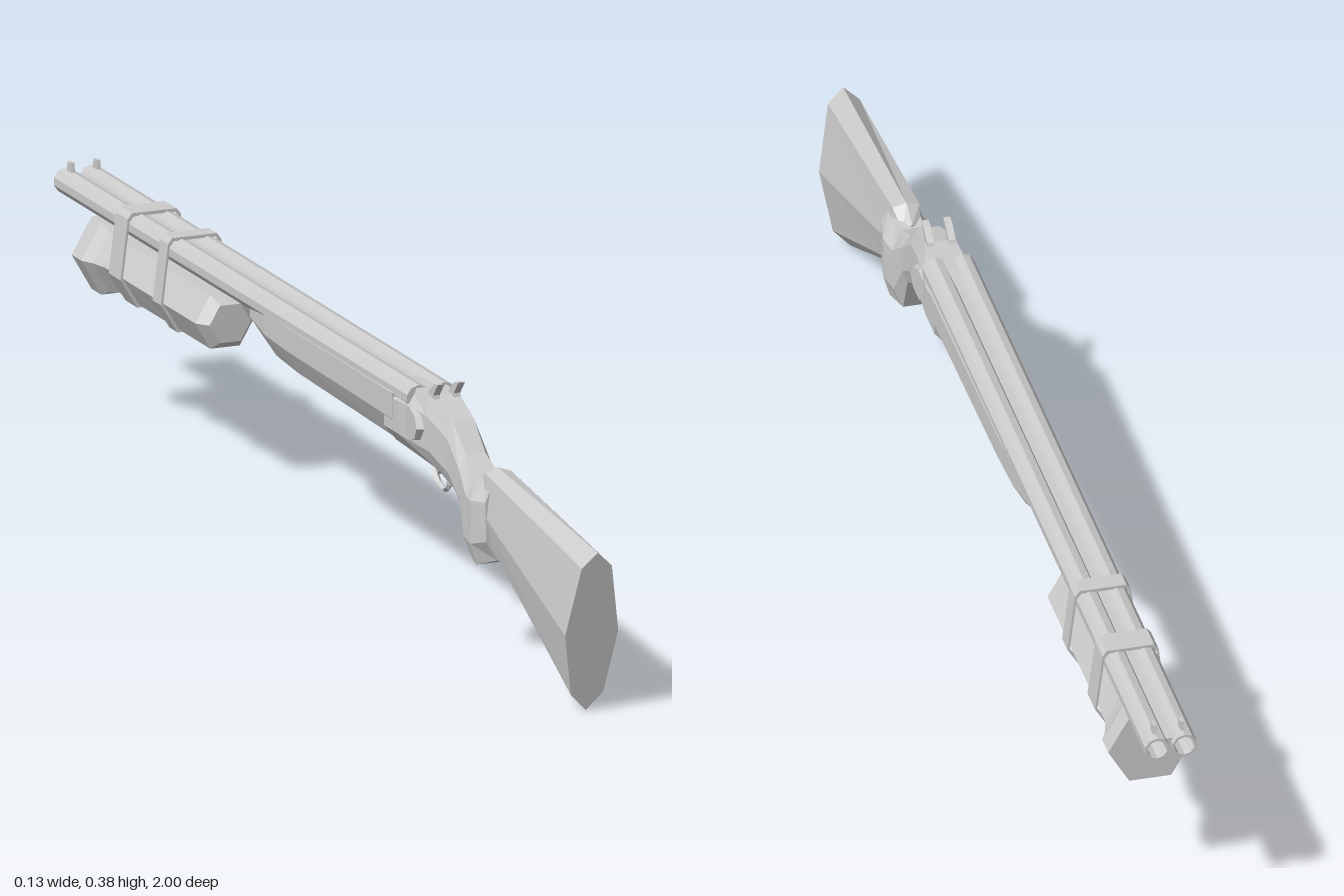
import * as THREE from 'three';

const mat = new THREE.MeshStandardMaterial({ color: 0xcccccc, flatShading: true });

function add(group, name, geometry, x = 0, y = 0, z = 0) {
  const mesh = new THREE.Mesh(geometry, mat);
  mesh.name = name;
  mesh.position.set(x, y, z);
  group.add(mesh);
  return mesh;
}

// Skin over stations { top: [z, y], bot: [z, y], side: [[fraction down, half width], ...] }, in order of rising z.
function loft(stations) {
  const pos = [], idx = [];
  const n = stations[0].side.length * 2;
  for (const { top, bot, side } of stations) {
    const put = (f, x) => pos.push(x, top[1] + (bot[1] - top[1]) * f, top[0] + (bot[0] - top[0]) * f);
    side.forEach(([f, w]) => put(f, w));
    [...side].reverse().forEach(([f, w]) => put(f, -w));
  }
  for (let i = 0; i < stations.length - 1; i++) {
    for (let j = 0; j < n; j++) {
      const a = i * n + j, b = i * n + (j + 1) % n;
      idx.push(a, a + n, b, b, a + n, b + n);
    }
  }
  const last = (stations.length - 1) * n;
  for (let j = 1; j < n - 1; j++) {
    idx.push(0, j, j + 1);
    idx.push(last, last + j + 1, last + j);
  }
  const g = new THREE.BufferGeometry();
  g.setAttribute('position', new THREE.Float32BufferAttribute(pos, 3));
  g.setIndex(idx);
  const flat = g.toNonIndexed();
  flat.computeVertexNormals();
  return flat;
}

// Turned shape along z; points are [radius, z] running toward -z.
function turned(points, sides, phase = 0) {
  const g = new THREE.LatheGeometry(points.map(([r, z]) => new THREE.Vector2(r, -z)), sides, phase);
  return g.rotateX(-Math.PI / 2);
}

// Outline in (z, y) given thickness along x, centred on x = 0.
function plate(points, thickness) {
  const shape = new THREE.Shape(points.map(([z, y]) => new THREE.Vector2(-z, y)));
  const g = new THREE.ExtrudeGeometry(shape, { depth: thickness, bevelEnabled: false });
  return g.translate(0, 0, -thickness / 2).rotateY(Math.PI / 2);
}

export function createModel() {
  const model = new THREE.Group();

  // Twin hollow barrels with bead sights, hammers and side plates
  const barrel = turned([[0, 0.36], [0.02, 0.36], [0.02, -1], [0.016, -1], [0.016, -0.8], [0, -0.8]], 10);
  const hammer = plate([[0.39, 0.345], [0.425, 0.345], [0.418, 0.366], [0.436, 0.387], [0.422, 0.385], [0.4, 0.368]], 0.011);
  const sight = plate([[-0.968, 0.364], [-0.972, 0.382], [-0.984, 0.382], [-0.988, 0.364]], 0.006);
  for (const s of [1, -1]) {
    const side = s > 0 ? 'left' : 'right';
    add(model, side + 'Barrel', barrel, s * 0.0215, 0.348);
    add(model, side + 'Sight', sight, s * 0.0215);
    add(model, side + 'Hammer', hammer, s * 0.017);
    const disc = new THREE.CylinderGeometry(0.026, 0.028, 0.012, 8).rotateZ(-s * Math.PI / 2);
    const lock = add(model, side + 'LockPlate', disc, s * 0.037, 0.313, 0.375);
    lock.scale.z = 1.35;
    lock.rotation.y = s * 0.1;
  }
  add(model, 'barrelRib', new THREE.BoxGeometry(0.014, 0.018, 1.36), 0, 0.35, -0.31);

  // Fore-end below the barrels
  const foreSide = (w, b) => [[0, w], [0.5, w], [1, b]];
  add(model, 'foreEnd', loft([
    { top: [-0.278, 0.338], bot: [-0.27, 0.318], side: foreSide(0.022, 0.012) },
    { top: [-0.262, 0.342], bot: [-0.258, 0.298], side: foreSide(0.034, 0.016) },
    { top: [-0.19, 0.345], bot: [-0.19, 0.275], side: foreSide(0.04, 0.02) },
    { top: [-0.1, 0.345], bot: [-0.1, 0.27], side: foreSide(0.042, 0.022) },
    { top: [0.31, 0.345], bot: [0.31, 0.264], side: foreSide(0.044, 0.024) },
  ]));

  // Receiver flowing down into the grip
  const gripSide = (t, w, b) => [[0, t], [0.25, w], [0.75, w], [1, b]];
  add(model, 'receiverAndGrip', loft([
    { top: [0.27, 0.358], bot: [0.28, 0.262], side: gripSide(0.02, 0.043, 0.024) },
    { top: [0.33, 0.364], bot: [0.33, 0.26], side: gripSide(0.026, 0.043, 0.024) },
    { top: [0.41, 0.363], bot: [0.435, 0.254], side: gripSide(0.024, 0.034, 0.022) },
    { top: [0.48, 0.342], bot: [0.49, 0.236], side: gripSide(0.018, 0.028, 0.018) },
    { top: [0.53, 0.3], bot: [0.53, 0.212], side: gripSide(0.016, 0.028, 0.02) },
    { top: [0.575, 0.279], bot: [0.557, 0.15], side: gripSide(0.018, 0.034, 0.02) },
    { top: [0.605, 0.283], bot: [0.6, 0.146], side: gripSide(0.018, 0.04, 0.03) },
    { top: [0.64, 0.285], bot: [0.645, 0.162], side: gripSide(0.018, 0.032, 0.014) },
  ]));

  // Shoulder stock
  add(model, 'stock', loft([
    { top: [0.578, 0.283], bot: [0.61, 0.18], side: [[0, 0], [0.1, 0.014], [0.5, 0.024], [0.85, 0.018], [1, 0]] },
    { top: [0.615, 0.3], bot: [0.645, 0.164], side: [[0, 0], [0.05, 0.021], [0.5, 0.03], [0.85, 0.022], [1, 0]] },
    { top: [1, 0.262], bot: [0.953, 0.002], side: [[0, 0], [0.09, 0.025], [0.51, 0.044], [0.89, 0.027], [1, 0]] },
  ]));

  // Trigger and guard
  const guard = new THREE.CurvePath();
  const path = [[0.435, 0.262], [0.428, 0.222], [0.412, 0.214], [0.388, 0.219], [0.362, 0.245], [0.355, 0.268]]
    .map(([z, y]) => new THREE.Vector3(0, y, z));
  for (let i = 1; i < path.length; i++) guard.add(new THREE.LineCurve3(path[i - 1], path[i]));
  add(model, 'triggerGuard', new THREE.TubeGeometry(guard, 20, 0.005, 4));
  add(model, 'trigger', plate([[0.388, 0.265], [0.4, 0.265], [0.397, 0.245], [0.388, 0.232], [0.39, 0.248]], 0.006));

  // Six-sided flashlight slung under the barrels
  add(model, 'flashlight', turned([
    [0, -0.415], [0.034, -0.415], [0.049, -0.435], [0.049, -0.785],
    [0.056, -0.815], [0.066, -0.835], [0.066, -0.872], [0, -0.872],
  ], 6, Math.PI / 6 * 3), 0, 0.267);

  // Straps round barrels and flashlight
  const half = [[0.037, 0.371], [0.044, 0.362], [0.056, 0.267], [0.028, 0.221]];
  const ring = k => [...half, ...half.map(([x, y]) => [-x, y]).reverse()]
    .map(([x, y]) => new THREE.Vector2(x * k, 0.296 + (y - 0.296) * k));
  for (const [z, width] of [[-0.568, 0.032], [-0.73, 0.046]]) {
    const band = new THREE.Shape(ring(1));
    band.holes.push(new THREE.Path(ring(0.93)));
    const g = new THREE.ExtrudeGeometry(band, { depth: width, bevelEnabled: false });
    add(model, 'strap', g, 0, 0, z - width / 2);
  }

  return model;
}
